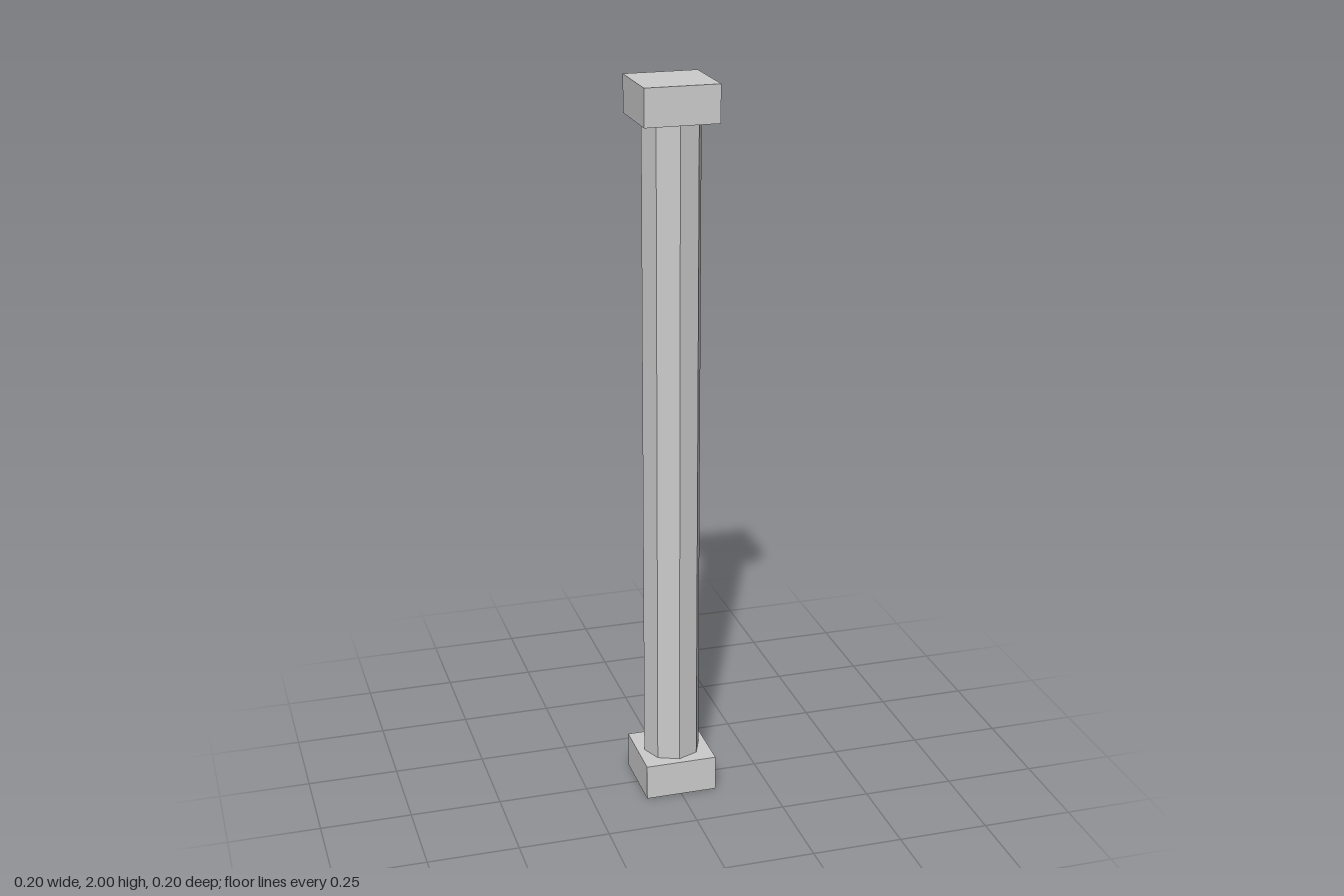
import * as THREE from 'three';

export function createModel() {
  const group = new THREE.Group();
  group.name = 'column';
  const material = new THREE.MeshStandardMaterial({ color: 0xcccccc, flatShading: true });

  const add = (name, geometry, y) => {
    const mesh = new THREE.Mesh(geometry, material);
    mesh.name = name;
    mesh.position.y = y;
    group.add(mesh);
  };

  // Square blocks at the foot and head
  const block = new THREE.BoxGeometry(0.2, 0.1, 0.2);
  add('base', block, 0.05);
  add('capital', block, 1.95);

  // Eight-sided shaft with corners on the axes
  add('shaft', new THREE.CylinderGeometry(0.08, 0.08, 1.8, 8, 1, true), 1);

  return group;
}
